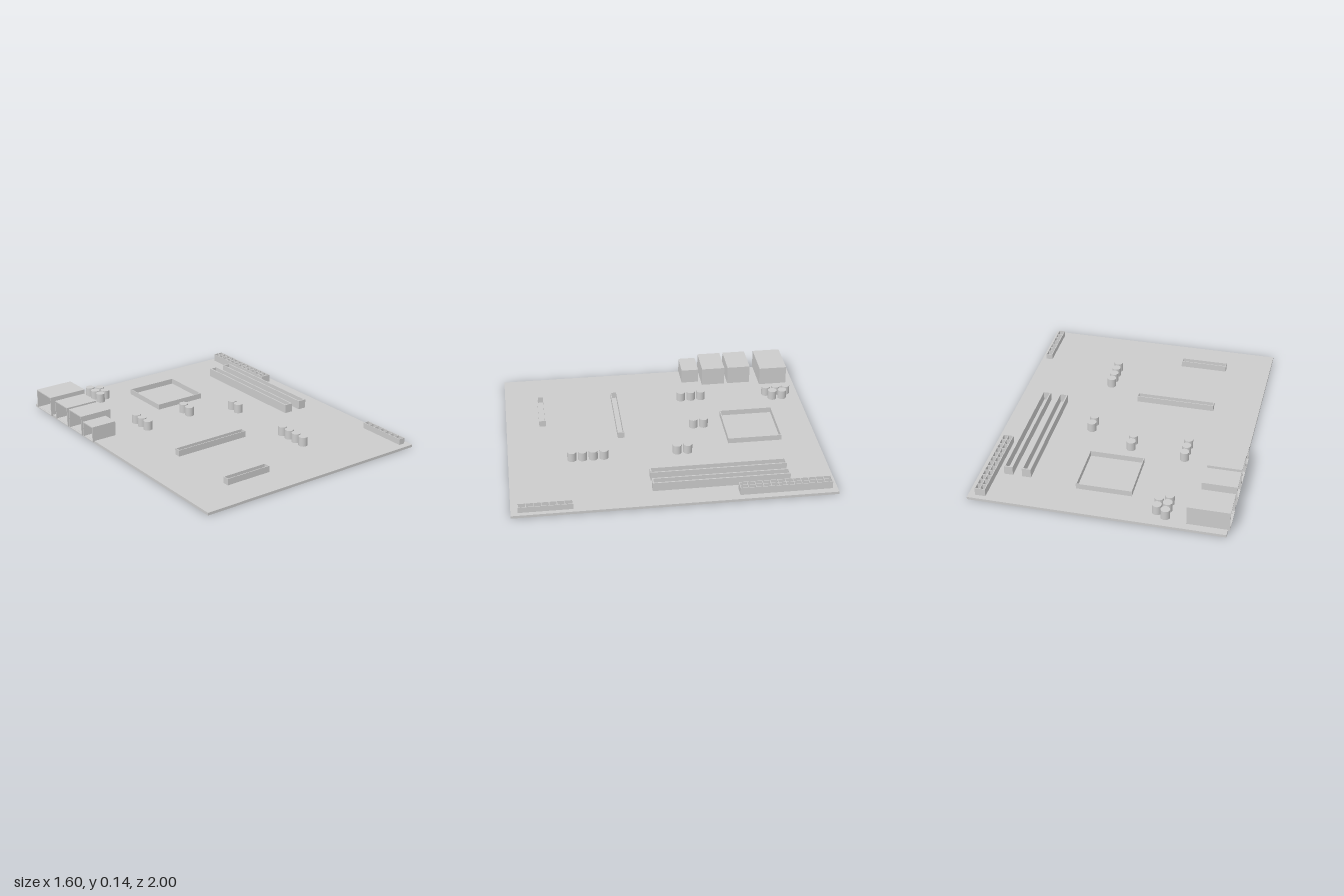
import * as THREE from 'three';

const TOP = 0.017; // upper surface of the board

const grey = new THREE.MeshStandardMaterial({ color: 0xcccccc });

// Thin-walled grid of open cells, w by d in plan, rising h along +y from y = 0
function cellGeometry(w, d, h, cols, rows, wall) {
  const shape = new THREE.Shape([
    new THREE.Vector2(-w / 2, -d / 2), new THREE.Vector2(w / 2, -d / 2),
    new THREE.Vector2(w / 2, d / 2), new THREE.Vector2(-w / 2, d / 2),
  ]);
  const cw = (w - wall) / cols, cd = (d - wall) / rows;
  for (let i = 0; i < cols; i++) {
    for (let j = 0; j < rows; j++) {
      const x0 = -w / 2 + wall + i * cw, x1 = x0 + cw - wall;
      const y0 = -d / 2 + wall + j * cd, y1 = y0 + cd - wall;
      shape.holes.push(new THREE.Path([
        new THREE.Vector2(x0, y0), new THREE.Vector2(x0, y1),
        new THREE.Vector2(x1, y1), new THREE.Vector2(x1, y0),
      ]));
    }
  }
  const geometry = new THREE.ExtrudeGeometry(shape, { depth: h, bevelEnabled: false });
  return geometry.rotateX(-Math.PI / 2);
}

export function createModel() {
  const model = new THREE.Group();

  function add(name, geometry, x, y, z, parent = model) {
    const mesh = new THREE.Mesh(geometry, grey);
    mesh.name = name;
    mesh.position.set(x, y, z);
    parent.add(mesh);
    return mesh;
  }

  // Open-topped part given by its plan limits and top height
  function addCells(name, x0, x1, z0, z1, top, cols = 1, rows = 1, wall = 0.005) {
    const geometry = cellGeometry(x1 - x0, z1 - z0, top - TOP, cols, rows, wall);
    add(name, geometry, (x0 + x1) / 2, TOP, (z0 + z1) / 2);
  }

  // Circuit board
  add('board', new THREE.BoxGeometry(1.588, TOP, 2), 0.006, TOP / 2, 0);

  // Processor socket frame
  addCells('processorSocket', -0.17, 0.18, -0.77, -0.42, 0.053);

  // Memory slots
  addCells('memorySlot1', 0.478, 0.535, -0.727, 0.13, 0.075, 1, 1, 0.008);
  addCells('memorySlot2', 0.594, 0.65, -0.727, 0.13, 0.075, 1, 1, 0.008);

  // Expansion slots
  addCells('longExpansionSlot', -0.489, 0.027, 0.24, 0.283, 0.058);
  addCells('shortExpansionSlot', -0.489, -0.178, 0.74, 0.784, 0.058);

  // Power connector and pin header
  addCells('powerConnector', 0.692, 0.758, -0.968, -0.394, 0.067, 2, 12, 0.004);
  addCells('pinHeader', 0.73, 0.772, 0.624, 0.957, 0.055, 1, 7, 0.004);

  // Rear ports: shells open towards -x, closed at the inner end
  const ports = [ // inner end x, z limits, top
    [-0.54, -0.95, -0.763, 0.14],
    [-0.582, -0.7, -0.545, 0.14],
    [-0.582, -0.522, -0.366, 0.14],
    [-0.63, -0.345, -0.23, 0.113],
  ];
  const portBase = 0.01, portFace = -0.8;
  ports.forEach(([inner, z0, z1, top], i) => {
    const port = new THREE.Group();
    port.name = `port${i + 1}`;
    const h = top - portBase, d = z1 - z0, length = inner - portFace;
    const shell = cellGeometry(h, d, length, 1, 1, 0.006).rotateZ(Math.PI / 2);
    add('portShell', shell, inner, portBase + h / 2, (z0 + z1) / 2, port);
    add('portBack', new THREE.BoxGeometry(0.006, h - 0.004, d - 0.004),
      inner - 0.0032, portBase + h / 2, (z0 + z1) / 2, port);
    model.add(port);
  });

  // Capacitors in rows
  const capHeight = 0.06;
  const capGeometry = new THREE.CylinderGeometry(0.029, 0.029, capHeight, 32);
  const capRows = [ // x, first z, count
    [-0.407, -0.917, 3],
    [-0.349, -0.883, 2],
    [-0.407, -0.328, 3],
    [-0.055, -0.293, 2],
    [0.24, -0.145, 2],
    [0.24, 0.393, 4],
  ];
  const capacitors = new THREE.Group();
  capacitors.name = 'capacitors';
  for (const [x, z, count] of capRows) {
    for (let i = 0; i < count; i++) {
      add('capacitor', capGeometry, x, TOP + capHeight / 2, z + i * 0.068, capacitors);
    }
  }
  model.add(capacitors);

  return model;
}
